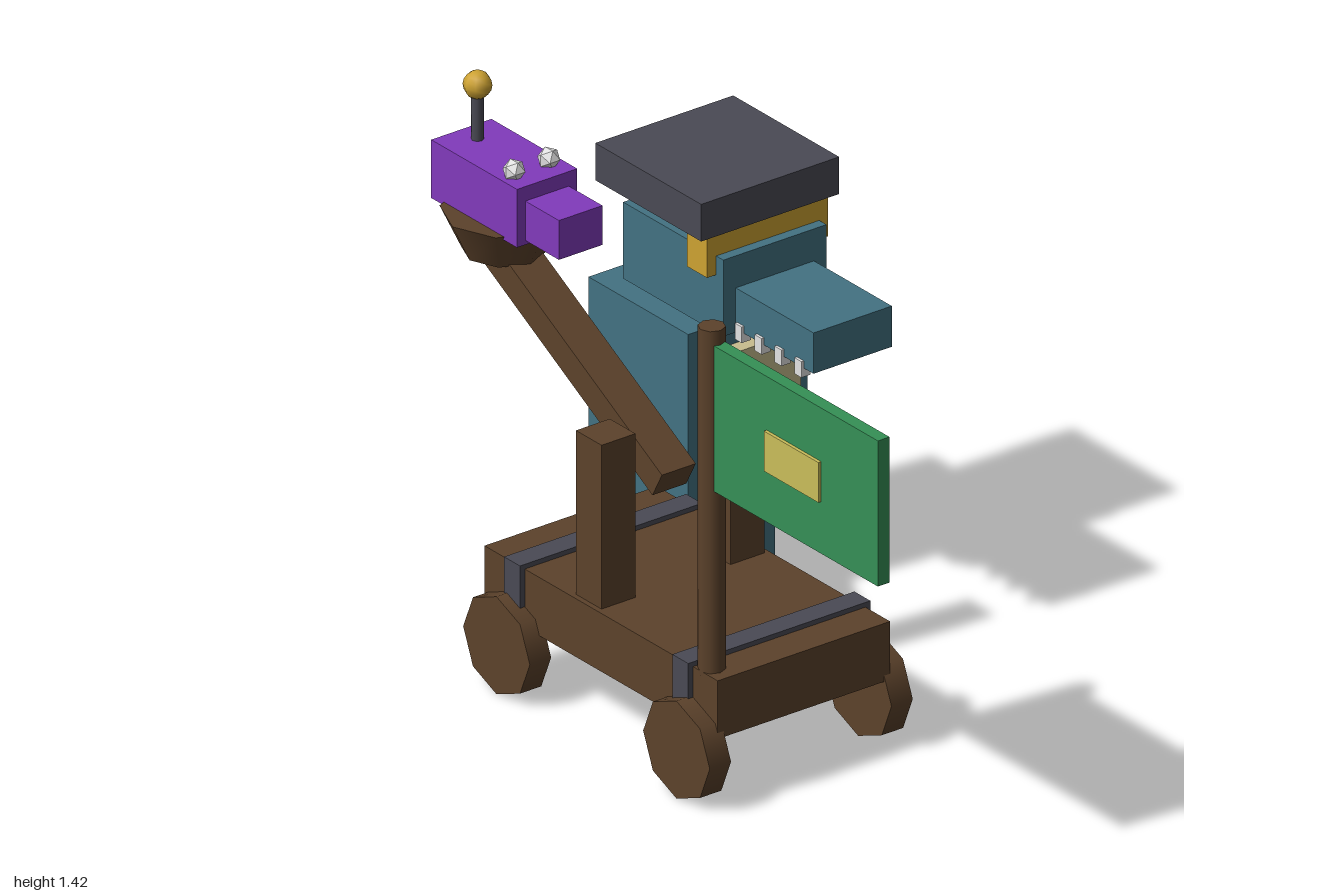
import * as THREE from 'three';

const mat = (name, color, flatShading = false) => {
  const m = new THREE.MeshStandardMaterial({ color, flatShading });
  m.name = name;
  return m;
};

export function createModel() {
  const wood = mat('wood brown', 0x5c422b);
  const iron = mat('iron grey', 0x4a4a54);
  const teal = mat('teal skin', 0x437282);
  const belly = mat('belly tan', 0xc8bd8e);
  const gold = mat('gold', 0xcda232);
  const yellow = mat('pale yellow', 0xcabe5a);
  const green = mat('flag green', 0x359056);
  const purple = mat('purple', 0x813abb);
  const white = mat('white', 0xe2e2e2, true);

  const model = new THREE.Group();
  const group = (name) => {
    const g = new THREE.Group();
    g.name = name;
    model.add(g);
    return g;
  };
  const add = (parent, name, geo, material, x, y, z) => {
    const m = new THREE.Mesh(geo, material);
    m.name = name;
    m.position.set(x, y, z);
    parent.add(m);
    return m;
  };
  // box given by its extents on each axis
  const box = (parent, name, material, [x0, x1], [y0, y1], [z0, z1]) =>
    add(parent, name, new THREE.BoxGeometry(x1 - x0, y1 - y0, z1 - z0), material,
      (x0 + x1) / 2, (y0 + y1) / 2, (z0 + z1) / 2);
  const around = (c, w) => [c - w / 2, c + w / 2];

  // catapult cart, symmetric about z = 0.2
  const cz = 0.2;
  const cart = group('catapult');
  box(cart, 'cartBed', wood, [-0.56, 0.378], [0.19, 0.35], around(cz, 0.535));
  for (const x of [-0.43, 0.247])
    box(cart, 'ironStrap', iron, around(x, 0.064), [0.178, 0.363], around(cz, 0.565));
  for (const side of [-1, 1]) {
    for (const x of [-0.45, 0.274]) {
      const wheel = add(cart, 'wheel', new THREE.CylinderGeometry(0.134, 0.134, 0.066, 8), wood,
        x, 0.134, cz + side * 0.282);
      wheel.rotation.x = Math.PI / 2;
    }
    box(cart, 'upright', wood, around(-0.16, 0.103), [0.35, 0.8], around(cz + side * 0.2, 0.105));
  }
  const arm = add(cart, 'throwingArm', new THREE.BoxGeometry(0.8, 0.08, 0.105), wood, -0.495, 0.807, cz);
  arm.rotation.z = -0.5;
  add(cart, 'bowl', new THREE.CylinderGeometry(0.16, 0.107, 0.108, 8), wood, -0.828, 1.033, cz);

  // purple creature lying in the bowl
  const rider = group('purpleCreature');
  box(rider, 'riderHead', purple, [-1, -0.655], [1.078, 1.238], around(cz, 0.187));
  box(rider, 'riderSnout', purple, [-0.655, -0.52], [1.09, 1.198], around(cz, 0.135));
  add(rider, 'antennaStem', new THREE.CylinderGeometry(0.016, 0.016, 0.13, 8), iron, -0.935, 1.3, cz);
  add(rider, 'antennaBall', new THREE.SphereGeometry(0.037, 8, 8), gold, -0.935, 1.387, cz);
  for (const side of [-1, 1])
    add(rider, 'riderEye', new THREE.IcosahedronGeometry(0.03, 0), white, -0.718, 1.254, cz + side * 0.054);

  // flag on its pole
  const flag = group('flag');
  add(flag, 'flagPole', new THREE.CylinderGeometry(0.035, 0.035, 0.95, 8), wood, 0.312, 0.815, 0.435);
  box(flag, 'flagCloth', green, [0.34, 1], [0.85, 1.25], around(0.432, 0.036));
  box(flag, 'flagEmblem', yellow, [0.553, 0.772], [0.993, 1.103], around(0.432, 0.054));

  // teal beast facing +x, symmetric about z = -0.297
  const bz = -0.297;
  const beast = group('tealBeast');
  box(beast, 'body', teal, [-0.893, -0.492], [0.3, 0.78], around(bz, 0.37));
  box(beast, 'bellyPlate', belly, [-0.5, -0.45], [0.362, 0.712], around(bz, 0.267));
  box(beast, 'head', teal, [-0.786, -0.383], [0.81, 1.02], around(bz, 0.32));
  box(beast, 'snout', teal, [-0.39, -0.07], [0.82, 0.932], around(bz, 0.243));
  for (const side of [-1, 1]) {
    box(beast, 'leg', teal, [-0.765, -0.62], [0, 0.3], around(bz + side * 0.11, 0.147));
    for (let i = 0; i < 4; i++)
      box(beast, 'tooth', white, around(-0.363 + i * 0.08, 0.028), [0.796, 0.84], around(bz + side * 0.115, 0.028));
    add(beast, 'eye', new THREE.SphereGeometry(0.036, 8, 6), yellow, -0.525, 1.053, bz + side * 0.1);
  }
  // hat with a gold band across the head
  box(beast, 'hatBand', gold, [-0.492, -0.412], [0.968, 1.08], around(bz, 0.376));
  box(beast, 'hatTop', iron, [-0.828, -0.402], [1.08, 1.182], around(bz, 0.428));

  return model;
}
